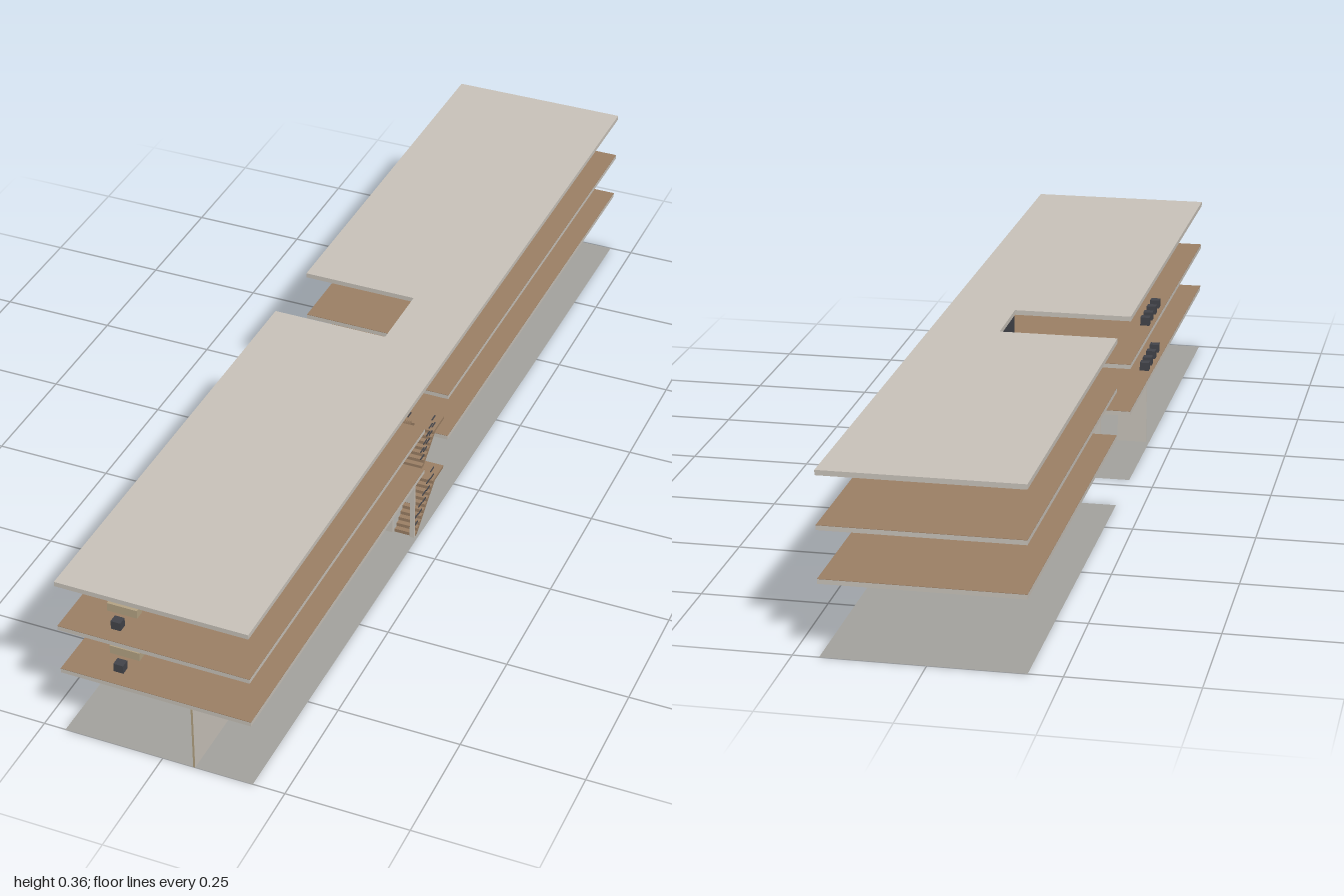
import * as THREE from 'three';

const mat = (name, color, side = THREE.FrontSide) => {
  const m = new THREE.MeshStandardMaterial({ color, side });
  m.name = name;
  return m;
};

export function createModel() {
  const root = new THREE.Group();
  root.name = 'officeBlock';
  const concrete = mat('concrete', 0xc9c3ba);
  const ground = mat('groundGrey', 0xa4a39e, THREE.DoubleSide);
  const wood = mat('woodFloor', 0x9c8065);
  const tan = mat('tanDesk', 0xb5a484);
  const dark = mat('darkMetal', 0x43444a);

  const add = (name, geo, material, parent = root) => {
    const m = new THREE.Mesh(geo, material);
    m.name = name;
    parent.add(m);
    return m;
  };
  // Box given by its limits
  const box = (name, x0, x1, y0, y1, z0, z1, material, parent) => {
    const m = add(name, new THREE.BoxGeometry(x1 - x0, y1 - y0, z1 - z0), material, parent);
    m.position.set((x0 + x1) / 2, (y0 + y1) / 2, (z0 + z1) / 2);
    return m;
  };
  // Flat shape from plan points [x, z]
  const plan = (pts) => new THREE.Shape(pts.map(([x, z]) => new THREE.Vector2(x, -z)));
  const prism = (name, pts, y, h, material) => {
    const g = new THREE.ExtrudeGeometry(plan(pts), { depth: h, bevelEnabled: false });
    const m = add(name, g.rotateX(-Math.PI / 2), material);
    m.position.y = y;
    return m;
  };

  // Slightly skewed outline with the side notch, and an optional stairwell cut in the +x edge
  const left = (z) => -0.195 - 0.01 * z;
  const right = (z) => 0.1925 - 0.0075 * z;
  const outline = (well = []) => [
    [left(1), 1], [right(1), 1], ...well, [right(-1), -1], [left(-1), -1],
    [left(-0.12), -0.12], [0.05, -0.12], [0.05, 0.035], [left(0.035), 0.035],
  ];
  const wellLow = [[right(0.165), 0.165], [0.135, 0.165], [0.135, 0.2], [0.087, 0.2],
    [0.087, 0.04], [right(0.04), 0.04]];
  const wellHigh = [[right(0.165), 0.165], [0.087, 0.165], [0.087, 0.04], [right(0.04), 0.04]];

  // Ground sheet, floors and roof
  const sheet = new THREE.ShapeGeometry(plan(outline())).rotateX(-Math.PI / 2);
  add('groundSheet', sheet, ground);
  [[0.143, wellLow], [0.246, wellHigh]].forEach(([y, well], i) => {
    prism('floorSlab' + (i + 1), outline(well), y, 0.009, concrete);
    prism('floorFinish' + (i + 1), outline(well), y + 0.009, 0.0008, wood);
  });
  prism('roofSlab', outline(), 0.35, 0.01, concrete);

  // Ground floor walls
  const H = 0.143;
  prism('longWall', [[0.063, 1], [0.067, 1], [0.073, 0.285], [0.069, 0.285]], 0, H, concrete);
  box('longWallEnd', 0.063, 0.067, 0, H, 1, 1.0005, tan);
  box('stairSideWall', 0.079, 0.083, 0, H, 0.2, 0.285, concrete);
  const doorWall = (name, x0, x1, d0, d1, z) => {
    const s = new THREE.Shape([[x0, 0], [d0, 0], [d0, 0.087], [d1, 0.087], [d1, 0], [x1, 0], [x1, H], [x0, H]]
      .map((p) => new THREE.Vector2(...p)));
    const g = new THREE.ExtrudeGeometry(s, { depth: 0.004, bevelEnabled: false });
    add(name, g, concrete).position.z = z;
  };
  doorWall('crossWall', -0.191, 0.083, -0.128, -0.09, 0.283);
  doorWall('stairFrontWall', 0.083, 0.185, 0.137, 0.175, 0.198);

  // Thin folded stair flight running from (z0, y0) to (z1, y1)
  const flight = (name, x0, x1, z0, y0, z1, y1, n, parent) => {
    const dz = (z1 - z0) / n, dy = (y1 - y0) / n, t = 0.006, pts = [];
    for (let i = 0; i < n; i++) {
      pts.push(new THREE.Vector2(z0 + i * dz, y0 + i * dy));
      pts.push(new THREE.Vector2(z0 + i * dz, y0 + (i + 1) * dy));
    }
    pts.push(new THREE.Vector2(z1, y1), new THREE.Vector2(z1, y1 - t), new THREE.Vector2(z0 + dz, y0));
    const g = new THREE.ExtrudeGeometry(new THREE.Shape(pts), { depth: x1 - x0, bevelEnabled: false });
    add(name, g.rotateY(-Math.PI / 2), wood, parent).position.x = x1;
  };
  // Stepped short rails that follow a flight
  const rails = (x, z0, y0, z1, y1, parent) => {
    for (let i = 0; i < 5; i++) {
      const k = (i + 0.5) / 5, z = z0 + (z1 - z0) * k, y = y0 + (y1 - y0) * k;
      for (const up of [0.018, 0.036]) {
        box('stairRail', x - 0.001, x + 0.001, y + up, y + up + 0.002, z - 0.009, z + 0.009, dark, parent);
      }
    }
  };
  const stairs = (name, base, mid, top, zStart, n, outer) => {
    const g = new THREE.Group();
    g.name = name;
    root.add(g);
    flight('lowerFlight', 0.14, outer, zStart, base, 0.09, mid, n, g);
    box('landing', 0.087, outer, mid - 0.006, mid, 0.042, 0.09, wood, g);
    flight('upperFlight', 0.087, 0.132, 0.09, mid, zStart, top, n, g);
    rails(outer - 0.002, zStart, base, 0.09, mid, g);
    rails(0.13, 0.09, mid, zStart, top, g);
  };
  stairs('lowerStairs', 0, 0.076, 0.152, 0.198, 10, 0.185);
  stairs('upperStairs', 0.152, 0.203, 0.255, 0.165, 7, 0.185);

  // Railings beside the stairwell, and furniture, on both floors
  for (const y of [0.1528, 0.2558]) {
    box('railingPanel', 0.085, 0.087, y, y + 0.042, 0.042, 0.2, dark);
    const desk = (x, z, d) => box('desk', x - 0.031, x + 0.031, y, y + 0.018, z - d / 2, z + d / 2, tan);
    const chair = (x, z) => box('chair', x - 0.01, x + 0.01, y, y + 0.018, z - 0.009, z + 0.009, dark);
    desk(-0.109, 0.915, 0.02);
    chair(-0.1, 0.96);
    desk(-0.109, 0.68, 0.025);
    for (const z of [0.36, 0.515]) {
      desk(-0.109, z, 0.03);
      desk(0.041, z, 0.03);
    }
    for (const z of [0.325, 0.365, 0.412, 0.46]) chair(-0.18, z);
  }
  return root;
}
